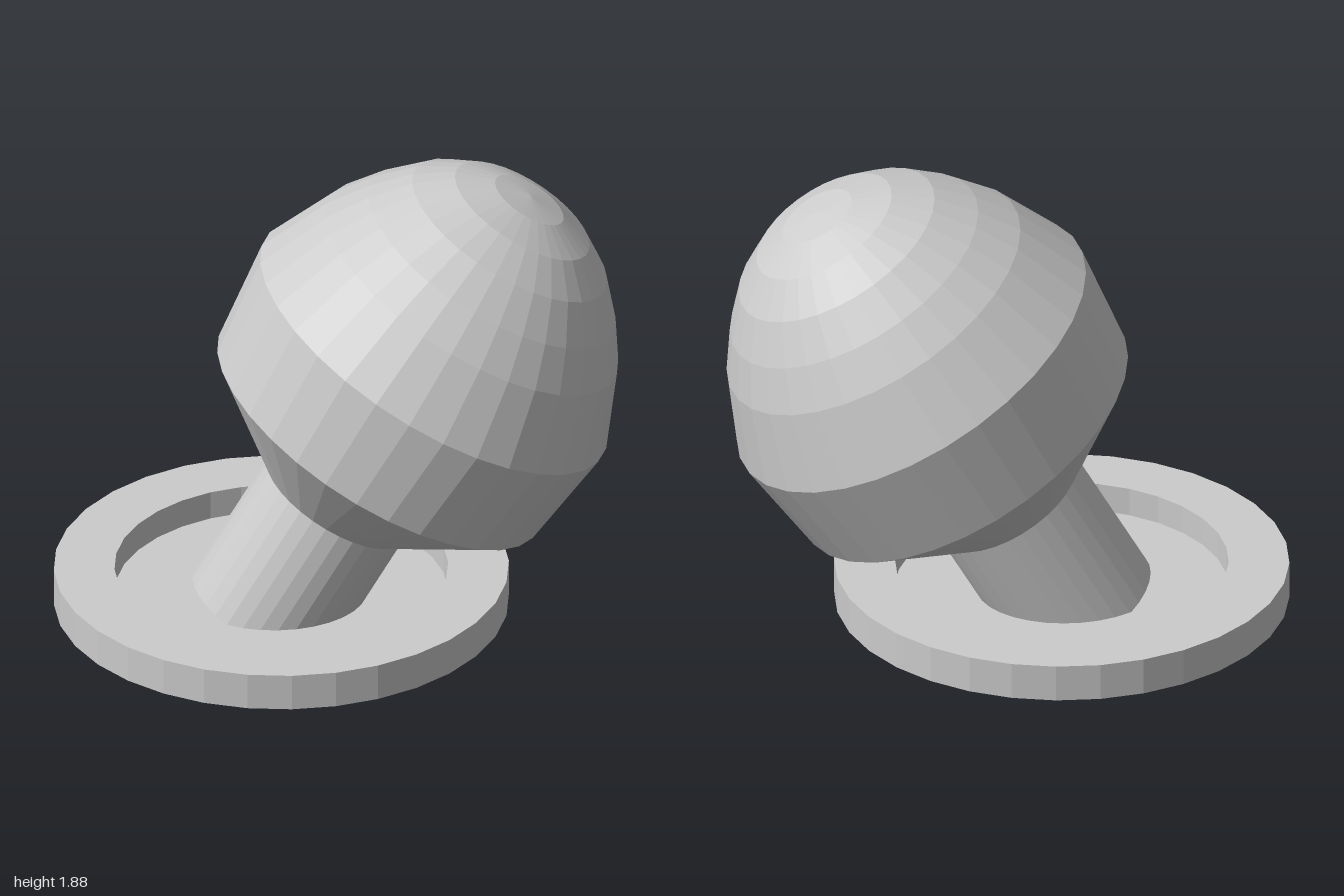
import * as THREE from 'three';

const SIDES = 32;
const material = new THREE.MeshStandardMaterial({ color: 0xcccccc, flatShading: true });

// Turned part from a profile of [radius, height] points, listed bottom to top
function turned(name, profile) {
  const points = profile.map(([r, h]) => new THREE.Vector2(r, h));
  const mesh = new THREE.Mesh(new THREE.LatheGeometry(points, SIDES), material);
  mesh.name = name;
  return mesh;
}

export function createModel() {
  const model = new THREE.Group();
  model.name = 'tiltedKnob';

  // Round base plate with a shallow recess
  const plate = turned('basePlate', [
    [0, 0.2], [0.805, 0.2], [0.805, 0.335], [0.59, 0.335], [0.59, 0.23], [0, 0.23],
  ]);
  plate.position.x = -0.195;
  model.add(plate);

  // Stem and head share one axis, leaning 30 degrees towards +x
  const knob = new THREE.Group();
  knob.name = 'knob';
  knob.position.set(0.345, 1.205, 0);
  knob.rotation.z = -Math.PI / 6;
  model.add(knob);

  knob.add(turned('stem', [[0, -1.22], [0.282, -1.22], [0.282, -0.69]]));

  // Flared underside, widest ring, then the dome
  knob.add(turned('head', [
    [0, -0.695], [0.282, -0.695], [0.663, -0.385], [0.71, 0],
    [0.597, 0.27], [0.505, 0.41], [0.398, 0.535], [0.275, 0.625], [0.14, 0.675], [0, 0.69],
  ]));

  return model;
}
